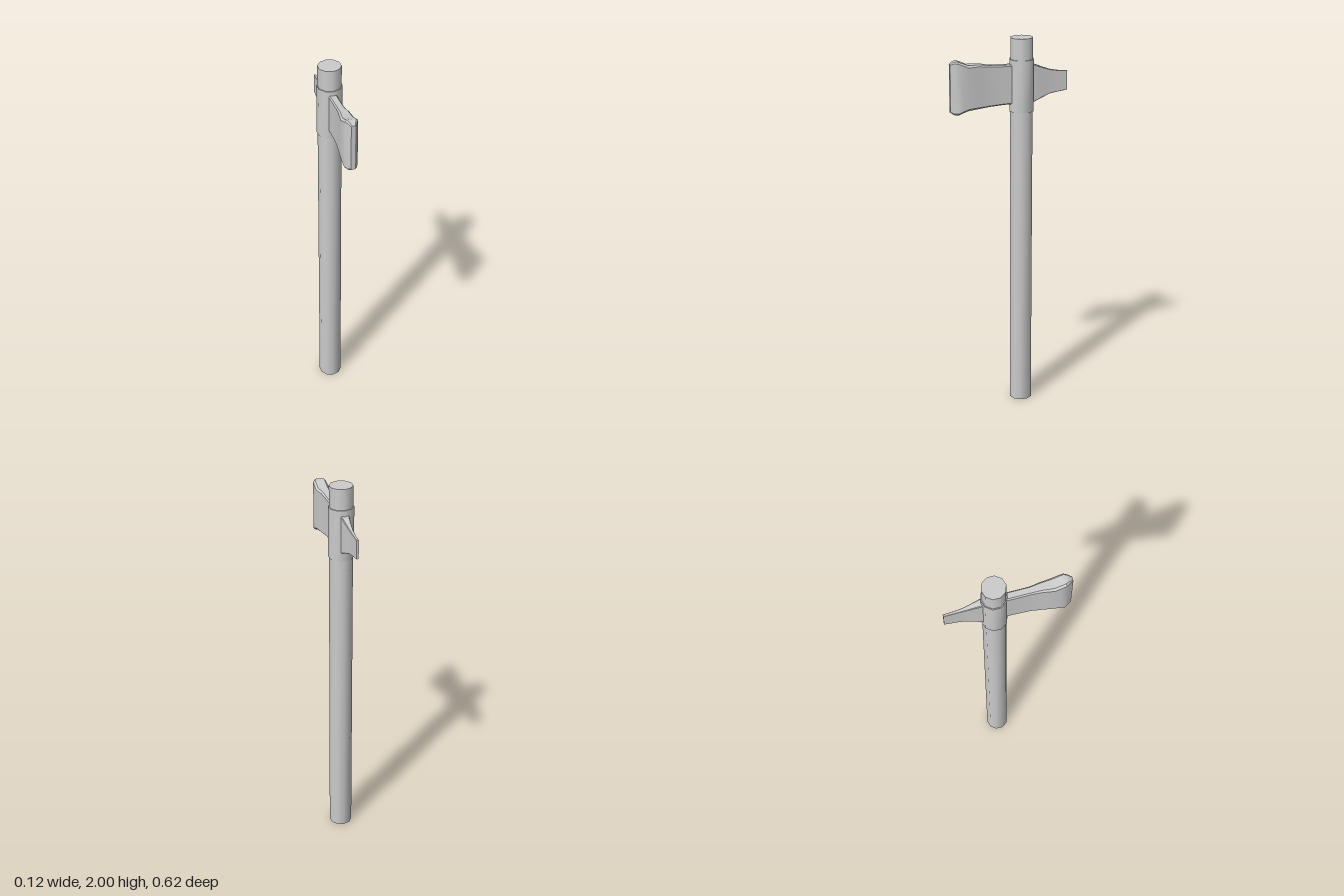
import * as THREE from 'three';
import { toCreasedNormals } from 'three/addons/utils/BufferGeometryUtils.js';

const material = new THREE.MeshStandardMaterial({ color: 0xcccccc });
const AXIS_Z = -0.067; // the shaft stands slightly behind the centre

// Ten-sided post between two heights
function post(name, radius, y0, y1) {
  const geometry = new THREE.CylinderGeometry(radius, radius, y1 - y0, 10);
  const mesh = new THREE.Mesh(toCreasedNormals(geometry, 0.7), material);
  mesh.position.set(0, (y0 + y1) / 2, AXIS_Z);
  mesh.name = name;
  return mesh;
}

// Closed solid lofted along z from stations [z, bottom, top, halfWidth]
function loft(name, stations, bevel) {
  const positions = [];
  const index = [];
  const n = 8;
  for (const [z, y0, y1, w] of stations) {
    const k = w * (1 - bevel); // half width of the top and bottom flats
    const b = w * bevel; // height of the bevelled corners
    const ring = [[k, y0], [w, y0 + b], [w, y1 - b], [k, y1],
      [-k, y1], [-w, y1 - b], [-w, y0 + b], [-k, y0]];
    for (const [x, y] of ring) positions.push(x, y, z);
  }
  for (let i = 0; i < stations.length - 1; i++) {
    for (let j = 0; j < n; j++) {
      const a = i * n + j;
      const b = i * n + (j + 1) % n;
      index.push(a, b, b + n, a, b + n, a + n);
    }
  }
  const last = (stations.length - 1) * n;
  for (let j = 1; j < n - 1; j++) {
    index.push(0, j + 1, j, last, last + j, last + j + 1);
  }
  const geometry = new THREE.BufferGeometry();
  geometry.setAttribute('position', new THREE.Float32BufferAttribute(positions, 3));
  geometry.setIndex(index);
  const mesh = new THREE.Mesh(toCreasedNormals(geometry, 0.6), material);
  mesh.name = name;
  return mesh;
}

export function createModel() {
  const group = new THREE.Group();
  group.name = 'hammer';

  // Long shaft and the collar that carries the head
  group.add(post('shaft', 0.06, 0, 2));
  group.add(post('collar', 0.065, 1.62, 1.89));

  // Front head: flat neck swelling to a blunt, tapered face
  group.add(loft('frontHead', [
    [-0.05, 1.66, 1.865, 0.021],
    [0.03, 1.66, 1.865, 0.021],
    [0.11, 1.655, 1.868, 0.021],
    [0.16, 1.65, 1.877, 0.027],
    [0.22, 1.645, 1.877, 0.035],
    [0.25, 1.635, 1.89, 0.035],
    [0.275, 1.625, 1.9, 0.034],
    [0.295, 1.627, 1.897, 0.022],
    [0.312, 1.638, 1.885, 0.012],
  ], 0.3));

  // Rear blade: narrows quickly to a thin tail
  group.add(loft('rearBlade', [
    [-0.313, 1.713, 1.813, 0.006],
    [-0.26, 1.706, 1.818, 0.007],
    [-0.22, 1.7, 1.826, 0.009],
    [-0.18, 1.685, 1.84, 0.014],
    [-0.13, 1.665, 1.86, 0.021],
    [-0.08, 1.66, 1.862, 0.021],
  ], 0.2));

  return group;
}
